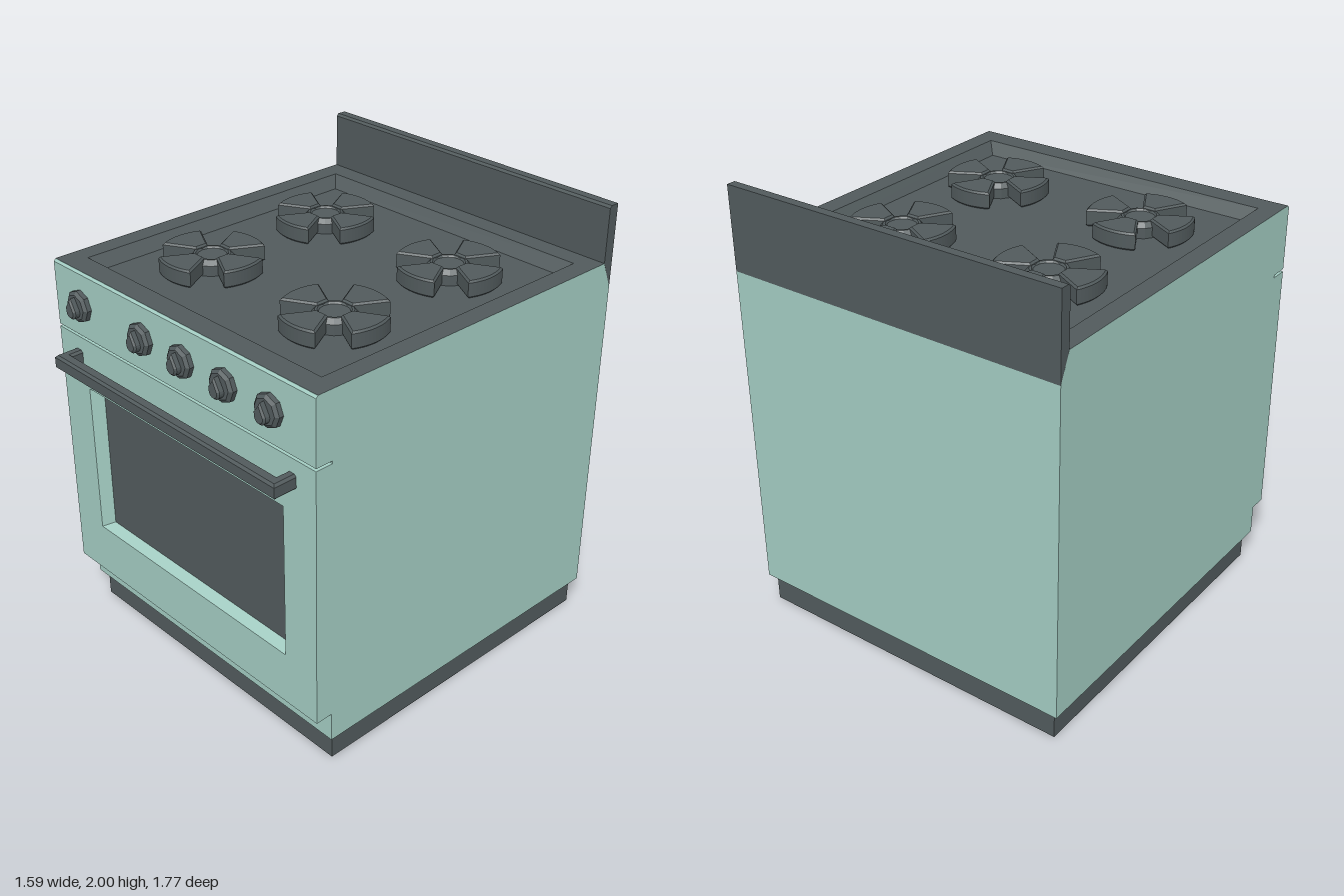
import * as THREE from 'three';

const enamel = new THREE.MeshStandardMaterial({ color: 0xa2cbc1 });
enamel.name = 'mint enamel';
const iron = new THREE.MeshStandardMaterial({ color: 0x515a5c });
iron.name = 'dark iron';

const W = 0.793; // half width of the body

const polygon = (pts) => new THREE.Shape(pts.map(([x, y]) => new THREE.Vector2(x, y)));
const rect = (x0, x1, y0, y1) => [[x0, y0], [x1, y0], [x1, y1], [x0, y1]];

function extrude(shape, depth, bevel = 0) {
  return new THREE.ExtrudeGeometry(shape, {
    depth: depth - 2 * bevel, bevelEnabled: bevel > 0, bevelThickness: bevel,
    bevelSize: bevel, bevelOffset: -bevel, bevelSegments: 1, curveSegments: 6,
  }).translate(0, 0, bevel);
}

// Side outline given as [z, y], extruded across the full width
function sideExtrude(pts) {
  return extrude(polygon(pts.map(([z, y]) => [-z, y])), 2 * W)
    .rotateY(Math.PI / 2).translate(-W, 0, 0);
}

// Four sloped faces joining two rectangles of 3D corners
function slopedFrame(a, b) {
  const pos = [];
  for (let i = 0; i < 4; i++) {
    const j = (i + 1) % 4;
    pos.push(...a[i], ...a[j], ...b[j], ...a[i], ...b[j], ...b[i]);
  }
  const g = new THREE.BufferGeometry();
  g.setAttribute('position', new THREE.Float32BufferAttribute(pos, 3));
  g.computeVertexNormals();
  return g;
}

function add(parent, name, geometry, material, x = 0, y = 0, z = 0) {
  const mesh = new THREE.Mesh(geometry, material);
  mesh.name = name;
  mesh.position.set(x, y, z);
  parent.add(mesh);
  return mesh;
}

function box(parent, name, material, x0, x1, y0, y1, z0, z1) {
  return add(parent, name, new THREE.BoxGeometry(x1 - x0, y1 - y0, z1 - z0), material,
    (x0 + x1) / 2, (y0 + y1) / 2, (z0 + z1) / 2);
}

function makeBurner() {
  const burner = new THREE.Group();
  burner.name = 'burner';
  // Four raised wedge-shaped petals
  const petal = new THREE.Shape();
  const a = 0.48, r = 0.224;
  petal.moveTo(-0.03, 0.065);
  petal.lineTo(0.03, 0.065);
  petal.lineTo(r * Math.sin(a), r * Math.cos(a));
  petal.absarc(0, 0, r, Math.PI / 2 - a, Math.PI / 2 + a, false);
  const geo = extrude(petal, 0.076, 0.008).rotateX(-Math.PI / 2);
  for (let i = 0; i < 4; i++) {
    add(burner, 'burnerPetal', geo, iron).rotation.y = i * Math.PI / 2;
  }
  // Hub with a shallow dished cap
  const hub = [[0.095, 0], [0.095, 0.045], [0.078, 0.066], [0.068, 0.066], [0.062, 0.058], [0, 0.058]];
  const hubGeo = new THREE.LatheGeometry(hub.map(([x, y]) => new THREE.Vector2(x, y)), 16).toNonIndexed();
  hubGeo.computeVertexNormals();
  add(burner, 'burnerHub', hubGeo, iron);
  return burner;
}

function makeKnob() {
  const knob = new THREE.Group();
  knob.name = 'knob';
  const disc = (r0, r1, z0, z1) => {
    const g = new THREE.CylinderGeometry(r1, r0, z1 - z0, 8).toNonIndexed();
    g.computeVertexNormals();
    return g.rotateX(Math.PI / 2).translate(0, 0, (z0 + z1) / 2);
  };
  add(knob, 'knobBase', disc(0.07, 0.07, 0, 0.02), iron);
  add(knob, 'knobShoulder', disc(0.07, 0.056, 0.02, 0.032), iron);
  // Teardrop grip
  const drop = new THREE.Shape();
  drop.moveTo(0, 0.047);
  drop.lineTo(-0.03, -0.005);
  drop.absarc(0, -0.014, 0.031, Math.PI * 0.9, Math.PI * 2.1, false);
  drop.lineTo(0, 0.047);
  add(knob, 'knobGrip', extrude(drop, 0.06, 0.008), iron);
  return knob;
}

export function createModel() {
  const stove = new THREE.Group();
  stove.name = 'stove';

  // Plinth and the sloped lip above it
  box(stove, 'plinth', iron, -0.765, 0.765, 0, 0.125, -0.86, 0.67);
  const under = (x, y, z0, z1) => rect(-x, x, z0, z1).map(([px, pz]) => [px, y, pz]);
  add(stove, 'lowerLip', slopedFrame(under(W, 0.13, -0.885, 0.7), under(0.765, 0.115, -0.86, 0.67)), enamel);

  // Body with the control panel at the front
  add(stove, 'body', sideExtrude([
    [0.7, 0.13], [0.7, 1.455], [0.78, 1.455], [0.78, 1.74], [0.77, 1.749], [0.74, 1.749],
    [0.74, 1.69], [-0.8, 1.69], [-0.8, 1.749], [-0.835, 1.749], [-0.885, 1.63], [-0.885, 0.13],
  ]), enamel);

  // Splashback
  add(stove, 'splashback', sideExtrude([
    [-0.885, 1.63], [-0.835, 1.75], [-0.835, 1.99], [-0.845, 2], [-0.885, 2],
  ]), iron);

  // Oven door with a recessed window
  const door = new THREE.Group();
  door.name = 'ovenDoor';
  stove.add(door);
  const doorShape = polygon(rect(-W, W, 0.265, 1.443));
  doorShape.holes.push(polygon(rect(-0.613, 0.613, 0.505, 1.21)));
  add(door, 'doorPanel', extrude(doorShape, 0.08), enamel, 0, 0, 0.7);
  const frontCorners = (x, y0, y1, z) => rect(-x, x, y0, y1).map(([px, py]) => [px, py, z]);
  add(door, 'windowFrame', slopedFrame(
    frontCorners(0.613, 0.505, 1.21, 0.78), frontCorners(0.58, 0.522, 1.187, 0.73)), enamel);
  box(door, 'windowGlass', iron, -0.59, 0.59, 0.515, 1.195, 0.724, 0.73);

  // Door handle: a bar with its ends turned back to the door
  const handle = polygon([
    [-0.687, -0.77], [-0.687, -0.887], [0.687, -0.887], [0.687, -0.77],
    [0.64, -0.77], [0.64, -0.832], [-0.64, -0.832], [-0.64, -0.77],
  ]);
  add(door, 'doorHandle', extrude(handle, 0.066, 0.01).rotateX(-Math.PI / 2), iron, 0, 1.315, 0);

  // Cooktop: dark rim, sloped walls and sunken floor
  const cooktop = new THREE.Group();
  cooktop.name = 'cooktop';
  stove.add(cooktop);
  const rim = polygon(rect(-W, W, -0.77, 0.835));
  rim.holes.push(polygon(rect(-0.705, 0.705, -0.67, 0.745)));
  add(cooktop, 'cooktopRim', extrude(rim, 0.06).rotateX(-Math.PI / 2), [iron, enamel], 0, 1.69, 0);
  const topCorners = (x, y, z0, z1) => rect(-x, x, -z1, -z0).map(([px, py]) => [px, y, -py]);
  add(cooktop, 'cooktopWalls', slopedFrame(
    topCorners(0.705, 1.75, -0.745, 0.67), topCorners(0.66, 1.7, -0.7, 0.625)), iron);
  box(cooktop, 'cooktopFloor', iron, -0.67, 0.67, 1.692, 1.7, -0.71, 0.635);

  for (const x of [-0.367, 0.367]) {
    for (const z of [-0.36, 0.285]) {
      const burner = makeBurner();
      burner.position.set(x, 1.7, z);
      cooktop.add(burner);
    }
  }

  // Control knobs
  for (const x of [-0.615, -0.207, 0.047, 0.3, 0.555]) {
    const knob = makeKnob();
    knob.position.set(x, 1.6, 0.78);
    stove.add(knob);
  }

  return stove;
}
